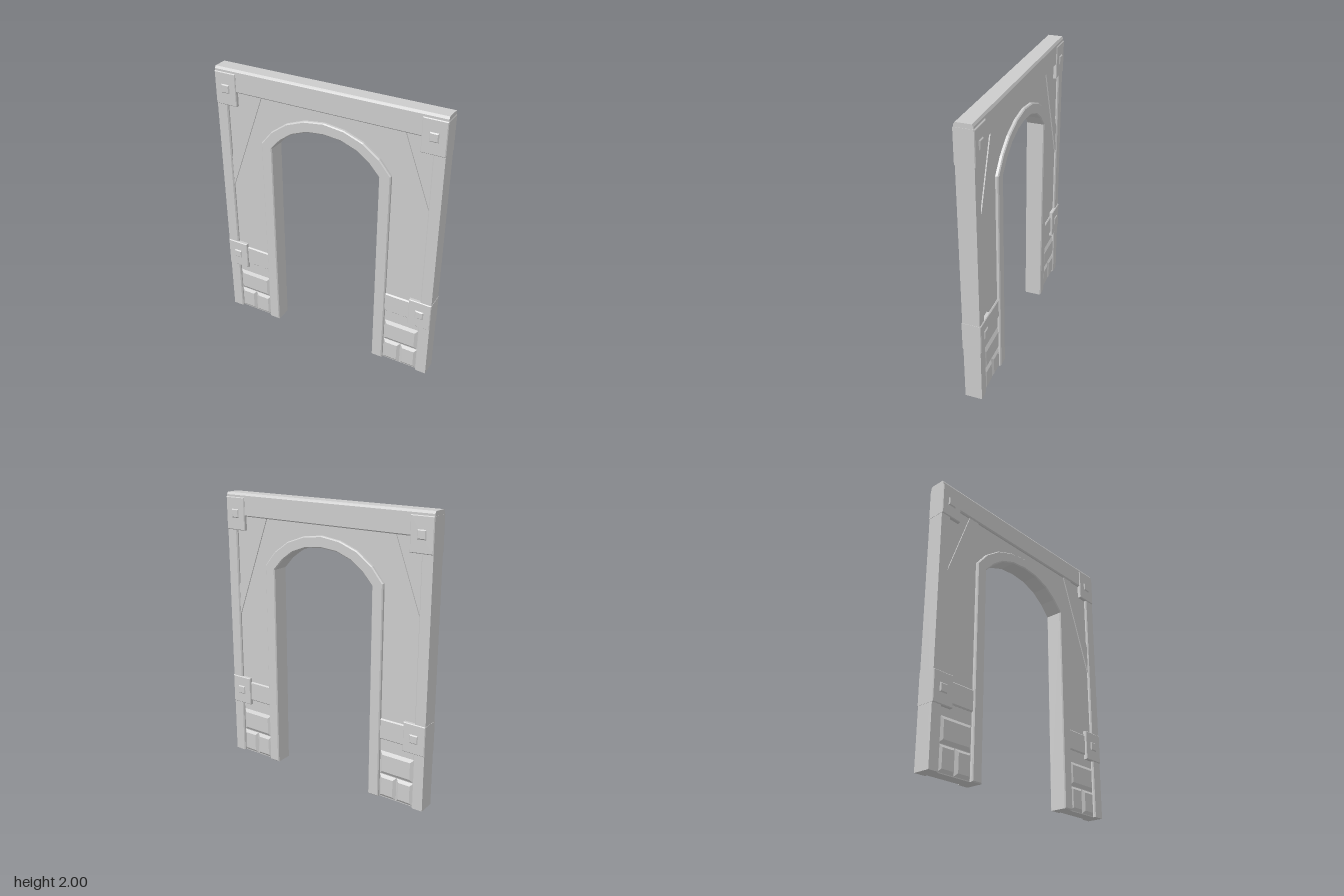
import * as THREE from 'three';

export function createModel() {
  const model = new THREE.Group();
  const stone = new THREE.MeshStandardMaterial({ color: 0xcccccc });
  stone.name = 'grey stone';

  const toShape = (pts) => new THREE.Shape(pts.map(([x, y]) => new THREE.Vector2(x, y)));
  const add = (name, geometry) => {
    const mesh = new THREE.Mesh(geometry, stone);
    mesh.name = name;
    model.add(mesh);
  };

  // Slab running through the gate, identical on both faces: reaches z = +-half,
  // with rims sloped inwards by `bevel` over a depth of `drop`
  const slab = (name, pts, half, bevel = 0, drop = bevel) => {
    const geometry = new THREE.ExtrudeGeometry(toShape(pts), {
      depth: 2 * (half - drop),
      bevelEnabled: bevel > 0,
      bevelSize: bevel,
      bevelOffset: -bevel,
      bevelThickness: drop,
      bevelSegments: 1,
    });
    add(name, geometry.translate(0, 0, drop - half));
  };
  const rect = (s, x0, x1, y0, y1) =>
    [[s * x0, y0], [s * x1, y0], [s * x1, y1], [s * x0, y1]];
  const mirrored = (half) => [...half, ...half.slice(0, -1).reverse().map(([x, y]) => [-x, y])];

  // Arch outlines, from the right foot over the crown to the left foot
  const outer = mirrored([[0.485, 0], [0.485, 1.515], [0.4, 1.617], [0.285, 1.7], [0.148, 1.751], [0, 1.77]]);
  const inner = mirrored([[0.403, 0], [0.403, 1.49], [0.33, 1.57], [0.24, 1.635], [0.125, 1.678], [0, 1.69]]);

  // Recessed wall and raised arch surround
  slab('wall', [[-0.8, 0], [-0.8, 1.9], [0.8, 1.9], [0.8, 0], ...outer.map(([x, y]) => [x * 0.96, y * 0.985])], 0.042);
  slab('archSurround', [...outer, ...inner.slice().reverse()], 0.065, 0.007);

  // Top beam, a chamfered profile swept along x
  const beam = new THREE.ExtrudeGeometry(
    toShape([[-0.052, 1.838], [0.052, 1.838], [0.06, 1.846], [0.06, 1.984], [0.05, 2], [-0.05, 2], [-0.06, 1.984], [-0.06, 1.846]]),
    { depth: 1.66, bevelEnabled: false });
  add('topBeam', beam.rotateY(Math.PI / 2).translate(-0.83, 0, 0));

  for (const s of [1, -1]) {
    const side = s > 0 ? 'left' : 'right';

    // Corner post, chamfered on its inner edges
    const post = new THREE.ExtrudeGeometry(
      toShape([[0.83, -0.06], [0.83, 0.06], [0.756, 0.06], [0.748, 0.052], [0.748, -0.052], [0.756, -0.06]].map(([x, z]) => [s * x, z])),
      { depth: 1.9, bevelEnabled: false });
    add(side + 'Post', post.rotateX(-Math.PI / 2));

    // Diagonal brace and low rail
    slab(side + 'Brace', [[0.475, 1.845], [0.752, 1.1], [0.752, 1.325], [0.56, 1.845]].map(([x, y]) => [s * x, y]), 0.05);
    slab(side + 'Rail', rect(s, 0.475, 0.7, 0.438, 0.587), 0.053, 0.008);

    // Stone blocks at the foot
    slab(side + 'UpperBlock', rect(s, 0.485, 0.75, 0.178, 0.352), 0.057, 0.025, 0.016);
    slab(side + 'InnerBlock', rect(s, 0.485, 0.618, 0.004, 0.176), 0.057, 0.022, 0.016);
    slab(side + 'OuterBlock', rect(s, 0.618, 0.75, 0.004, 0.176), 0.057, 0.022, 0.016);

    // Square plates with studs
    for (const [level, y0, y1, yc] of [['Upper', 1.738, 1.97, 1.855], ['Lower', 0.405, 0.617, 0.512]]) {
      slab(side + level + 'Plate', rect(s, 0.668, 0.832, y0, y1), 0.067, 0.005);
      slab(side + level + 'Stud', rect(s, 0.719, 0.781, yc - 0.031, yc + 0.031), 0.074, 0.007);
    }
  }
  return model;
}
